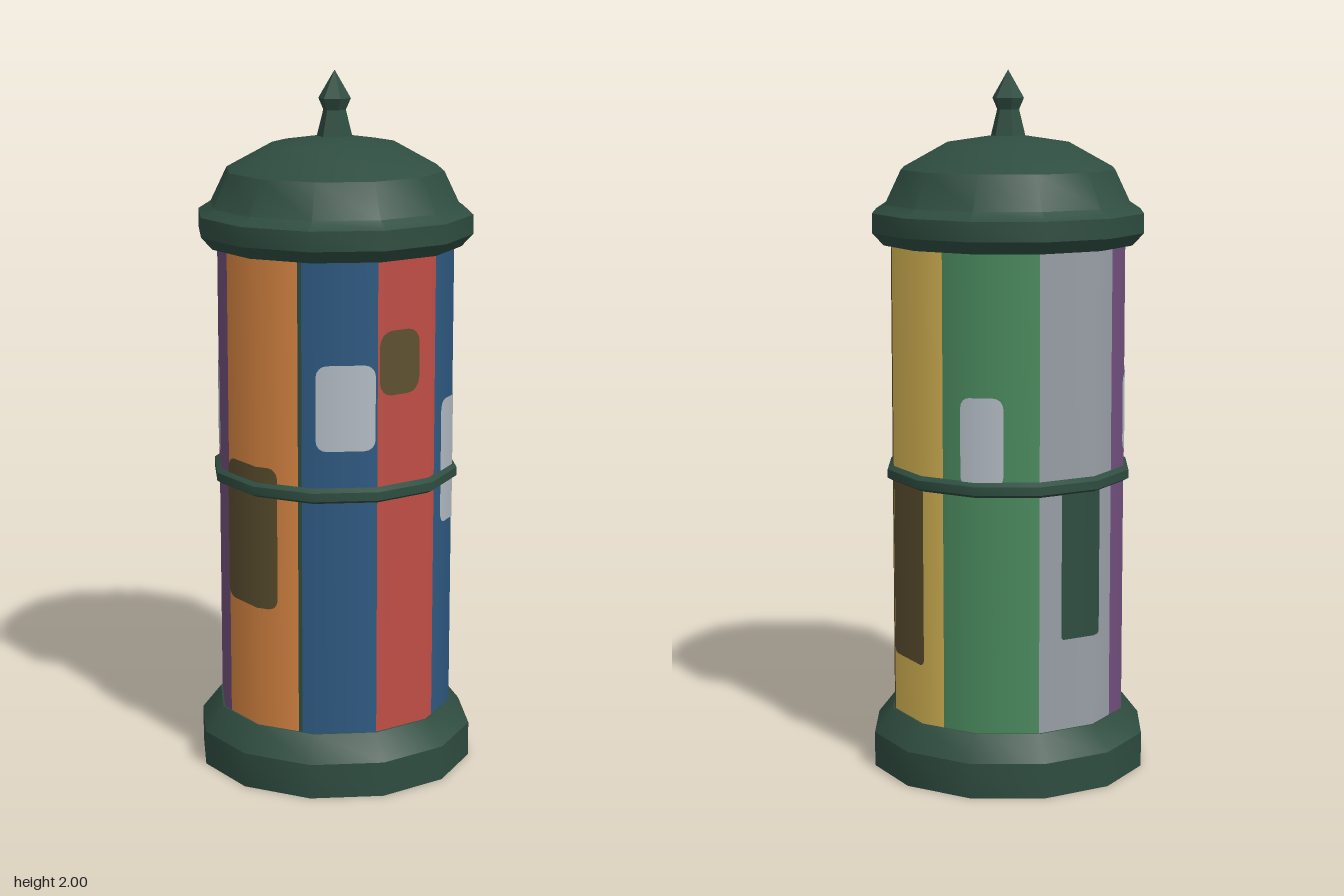
import * as THREE from 'three';
import { toCreasedNormals } from 'three/addons/utils/BufferGeometryUtils.js';

const SIDES = 12, STEP = 360 / SIDES, RADIUS = 0.34;
const BOTTOM = 0.165, TOP = 1.53;

function mat(name, color) {
  const m = new THREE.MeshStandardMaterial({ color });
  m.name = name;
  m.side = THREE.DoubleSide;
  return m;
}

// Point radius on the twelve-sided column at an angle in degrees (0 = front, 90 = +x)
function columnRadius(deg) {
  const local = ((deg % STEP) + STEP) % STEP - STEP / 2;
  const rad = THREE.MathUtils.degToRad;
  return RADIUS * Math.cos(rad(STEP / 2)) / Math.cos(rad(local));
}

// Sheet wrapped on the column between two angles and heights, with optional rounded corners
function wrappedSheet(a0, a1, y0, y1, corner = 0, lift = 0) {
  const degPerUnit = 180 / (Math.PI * RADIUS);
  const c = corner * degPerUnit;
  const angles = [a0, a1];
  for (let a = Math.ceil(a0 / STEP) * STEP; a < a1; a += STEP) if (a > a0) angles.push(a);
  if (corner) {
    for (const t of [0.08, 0.3, 0.6, 1]) angles.push(a0 + c * t, a1 - c * t);
  }
  angles.sort((p, q) => p - q);
  const pos = [], nor = [], idx = [];
  angles.forEach((a, i) => {
    const t = corner ? Math.max(0, 1 - Math.min(a - a0, a1 - a) / c) : 0;
    const inset = corner * (1 - Math.sqrt(1 - t * t));
    const r = columnRadius(a) + lift, th = THREE.MathUtils.degToRad(a);
    const s = Math.sin(th), k = Math.cos(th);
    pos.push(s * r, y0 + inset, k * r, s * r, y1 - inset, k * r);
    nor.push(s, 0, k, s, 0, k);
    if (i) {
      const b = 2 * i;
      idx.push(b - 2, b, b + 1, b - 2, b + 1, b - 1);
    }
  });
  const g = new THREE.BufferGeometry();
  g.setAttribute('position', new THREE.Float32BufferAttribute(pos, 3));
  g.setAttribute('normal', new THREE.Float32BufferAttribute(nor, 3));
  g.setIndex(idx);
  return g;
}

// Turned part: smooth around, sharp at strong profile bends
function turned(profile, sides) {
  const pts = profile.map(([r, y]) => new THREE.Vector2(r, y));
  return toCreasedNormals(new THREE.LatheGeometry(pts, sides), 0.56);
}

export function createModel() {
  const group = new THREE.Group();
  group.name = 'advertisingColumn';
  const iron = mat('darkGreenIron', 0x2f4d41);
  const red = mat('redPaper', 0xc04e46);
  const blue = mat('bluePaper', 0x2f5a82);
  const yellow = mat('yellowPaper', 0xdebc58);
  const green = mat('greenPaper', 0x4a8a5e);
  const grey = mat('greyPaper', 0x989fa6);
  const purple = mat('purplePaper', 0x74507e);
  const orange = mat('orangePaper', 0xdc8844);
  const pale = mat('palePaper', 0xb3bcc4);
  const olive = mat('olivePaper', 0x5e5130);

  const add = (name, geometry, material) => {
    const m = new THREE.Mesh(geometry, material);
    m.name = name;
    group.add(m);
  };

  // Open plinth
  add('base', turned([[0.4, 0], [0.4, 0.1], [0.345, 0.17], [0.338, 0.17]], SIDES), iron);

  // Large posters that make up the column wall
  const walls = [
    [0, 37, red], [37, 87, blue], [87, 91, olive], [91, 132, yellow], [132, 180, green],
    [180, 227, grey], [227, 276, purple], [276, 322, orange], [322, 324, iron], [324, 360, blue],
  ];
  walls.forEach(([a0, a1, m]) => add('posterWall', wrappedSheet(a0, a1, BOTTOM, TOP), m));

  // Small rounded bills pasted over the posters: angles, heights, corner
  const bills = [
    [-29, -1, 0.99, 1.23, 0.03, pale],
    [1, 24, 1.14, 1.32, 0.04, olive],
    [45, 77, 0.73, 1.09, 0.03, pale],
    [92, 121, 0.34, 0.86, 0.015, olive],
    [142, 163, 0.87, 1.12, 0.03, pale],
    [192, 215, 0.43, 0.86, 0.01, iron],
    [238, 261, 0.92, 1.17, 0.04, pale],
    [276, 311, 0.52, 0.93, 0.03, olive],
  ];
  bills.forEach(([a0, a1, y0, y1, c, m]) => add('bill', wrappedSheet(a0, a1, y0, y1, c, 0.002), m));

  // Band around the middle
  add('band', turned([[0.338, 0.842], [0.355, 0.852], [0.355, 0.876], [0.338, 0.888]], SIDES), iron);

  // Eave and domed roof
  add('roof', turned([
    [0.33, 1.515], [0.36, 1.515], [0.393, 1.55], [0.393, 1.605], [0.357, 1.628],
    [0.31, 1.725], [0.178, 1.797], [0.04, 1.818], [0, 1.82],
  ], SIDES), iron);

  // Six-sided finial
  add('finial', turned([[0.052, 1.81], [0.032, 1.89], [0.046, 1.922], [0, 2]], 6), iron);

  return group;
}
